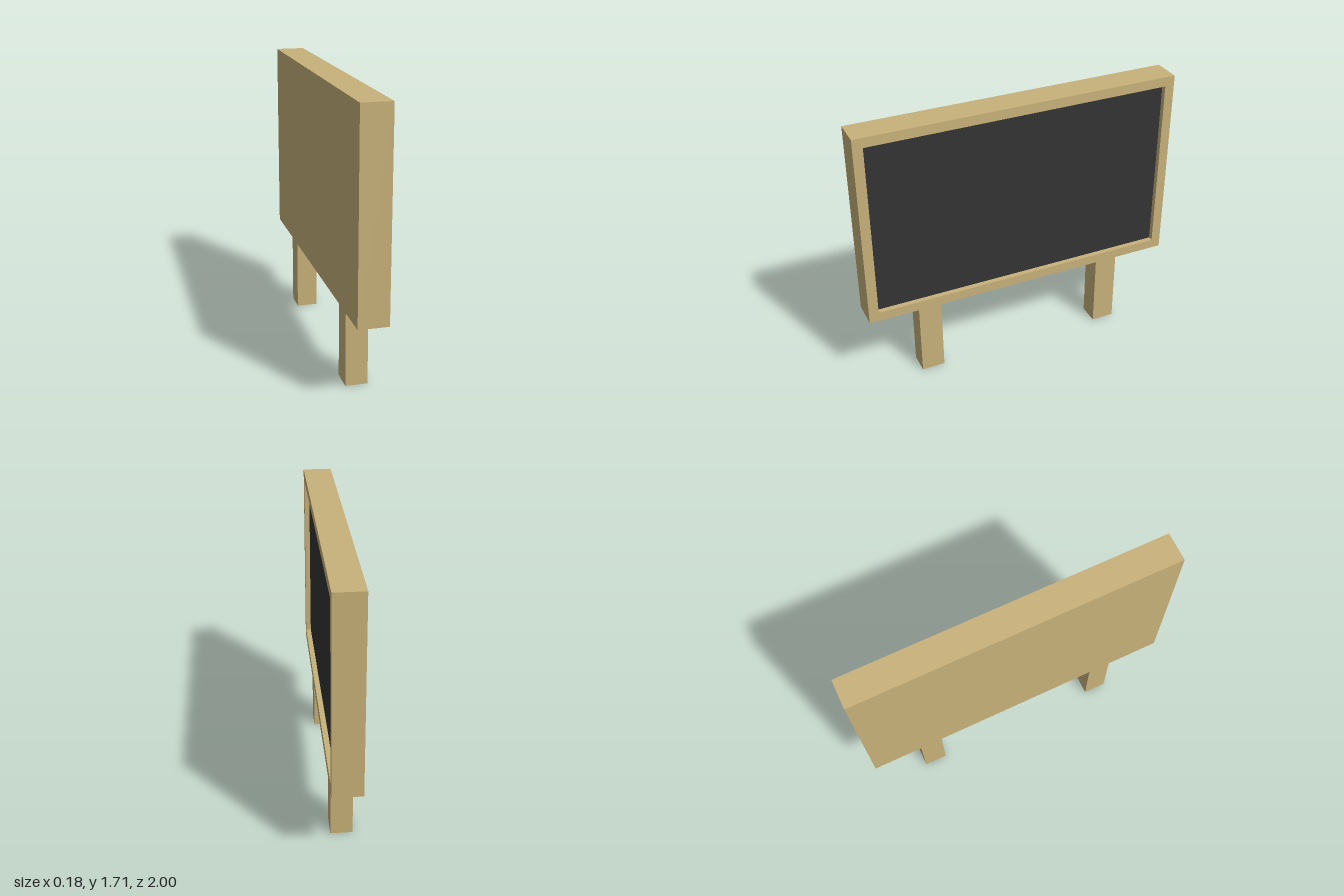
import * as THREE from 'three';

const W = 2, BOTTOM = 0.49, TOP = 1.71, DEPTH = 0.18; // cabinet size
const BORDER = 0.06, RECESS = 0.032;

export function createModel() {
  const wood = new THREE.MeshStandardMaterial({ name: 'wood', color: 0xc8b27a });
  const dark = new THREE.MeshStandardMaterial({ name: 'dark board', color: 0x343434 });
  const group = new THREE.Group();
  group.name = 'signboard';

  const add = (name, geometry, material, x, y, z) => {
    const mesh = new THREE.Mesh(geometry, material);
    mesh.name = name;
    mesh.position.set(x, y, z);
    group.add(mesh);
    return mesh;
  };

  const H = TOP - BOTTOM, midY = (TOP + BOTTOM) / 2;
  const innerW = W - 2 * BORDER, innerH = H - 2 * BORDER;
  const rect = (Type, w, h) => new Type([
    new THREE.Vector2(-w / 2, -h / 2), new THREE.Vector2(w / 2, -h / 2),
    new THREE.Vector2(w / 2, h / 2), new THREE.Vector2(-w / 2, h / 2),
  ]);

  // Frame: a rectangular ring as deep as the cabinet, turned to face +x
  const ring = rect(THREE.Shape, W, H);
  ring.holes.push(rect(THREE.Path, innerW, innerH));
  const frameGeo = new THREE.ExtrudeGeometry(ring, { depth: DEPTH, bevelEnabled: false });
  frameGeo.rotateY(Math.PI / 2);
  add('frame', frameGeo, wood, -DEPTH / 2, midY, 0);

  // Back panel fills the ring up to the recess
  const fill = DEPTH - RECESS - 0.005;
  add('backPanel', new THREE.BoxGeometry(fill, innerH, innerW), wood, -DEPTH / 2 + fill / 2, midY, 0);

  // Dark writing surface, a thin plate set in the recess
  add('board', new THREE.BoxGeometry(0.005, innerH, innerW), dark, DEPTH / 2 - RECESS - 0.0025, midY, 0);

  // Two square legs
  for (const side of [1, -1]) {
    add(side > 0 ? 'frontLeg' : 'backLeg', new THREE.BoxGeometry(0.133, BOTTOM, 0.145), wood,
      0, BOTTOM / 2, side * 0.611);
  }
  return group;
}
